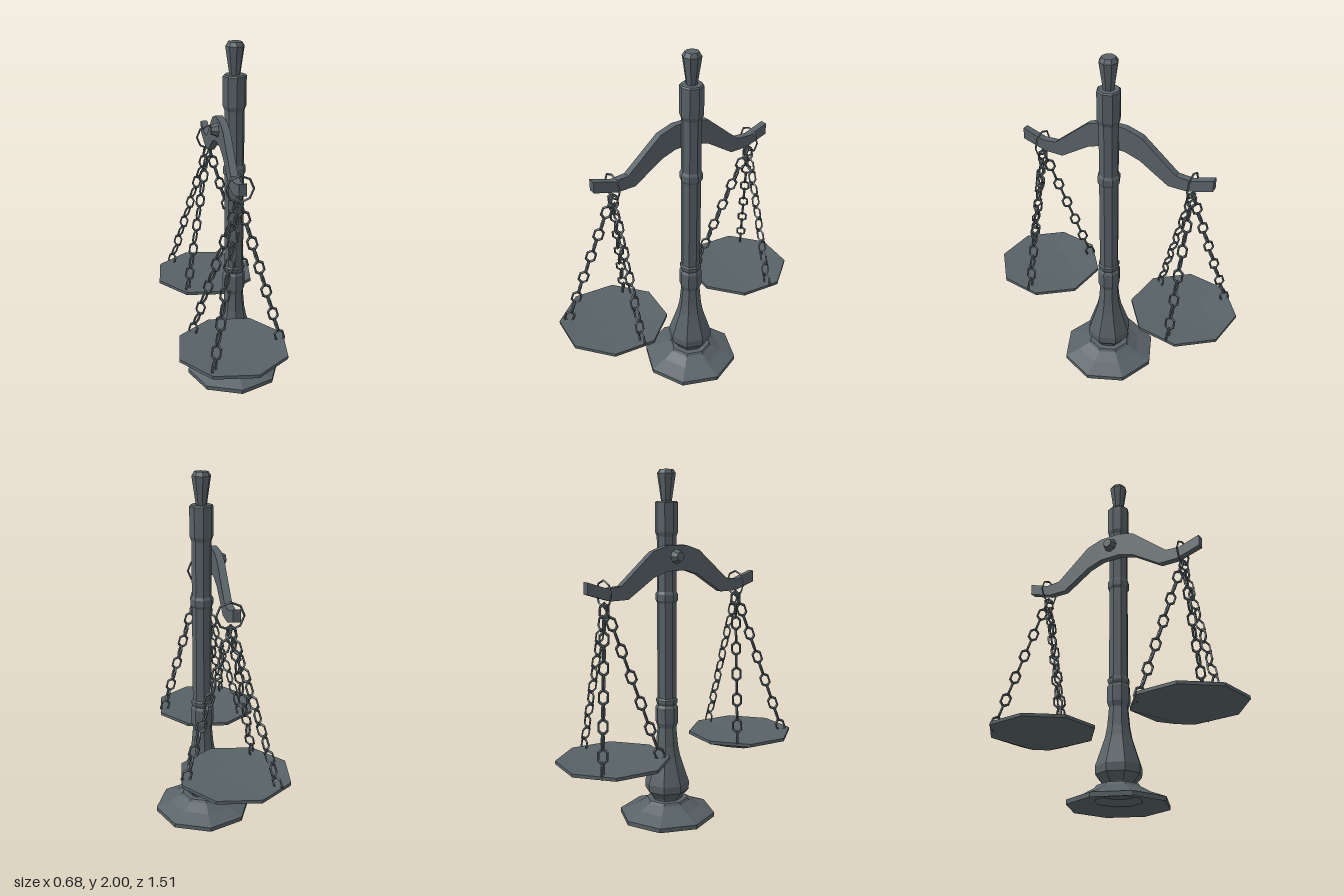
import * as THREE from 'three';

const V2 = (p) => new THREE.Vector2(p[0], p[1]);
const V3 = (x, y, z) => new THREE.Vector3(x, y, z);

export function createModel() {
  const iron = new THREE.MeshStandardMaterial({ color: 0x586266, flatShading: true });
  iron.name = 'dark iron';
  const model = new THREE.Group();
  model.name = 'balanceScale';

  const add = (parent, name, geometry, x = 0, y = 0, z = 0) => {
    const mesh = new THREE.Mesh(geometry, iron);
    mesh.name = name;
    mesh.position.set(x, y, z);
    parent.add(mesh);
    return mesh;
  };
  const turned = (profile) => new THREE.LatheGeometry(profile.map(V2), 8);

  const postX = 0.06, postZ = -0.018;

  // Octagonal foot, hollow underneath
  add(model, 'base', turned([
    [0, 0.06], [0.09, 0.06], [0.13, 0.03], [0.18, 0.03], [0.28, 0], [0.28, 0.025],
    [0.19, 0.06], [0.13, 0.095], [0.12, 0.11], [0, 0.11],
  ]), postX, 0, postZ);

  // Turned post with bulb, rings, collar and finial
  add(model, 'post', turned([
    [0, 0.1], [0.085, 0.1], [0.09, 0.12], [0.128, 0.165], [0.13, 0.21], [0.1, 0.3], [0.077, 0.37],
    [0.065, 0.43], [0.055, 0.54], [0.066, 0.57], [0.066, 0.66], [0.056, 0.675], [0.063, 0.69],
    [0.063, 0.705], [0.055, 0.715], [0.055, 1.265], [0.064, 1.28], [0.064, 1.315],
    [0.055, 1.33], [0.055, 1.635], [0.065, 1.66], [0.065, 1.82], [0.058, 1.828], [0.03, 1.828],
    [0.052, 1.978], [0.038, 2], [0, 2],
  ]), postX, 0, postZ);

  // Curved beam, mirrored about the post
  const top = [[0.065, 1.59], [0.159, 1.56], [0.365, 1.388], [0.45, 1.382], [0.572, 1.422]];
  const bottom = [[0.572, 1.357], [0.434, 1.314], [0.322, 1.314], [0.155, 1.42], [0.065, 1.45]];
  const half = [...top, ...bottom];
  const outline = [...half, ...half.map(([z, y]) => [-z, y]).reverse()];
  const beam = add(model, 'beam', new THREE.ExtrudeGeometry(
    new THREE.Shape(outline.map(V2)), { depth: 0.04, bevelEnabled: false }), 0.006, 0, postZ);
  beam.rotation.y = -Math.PI / 2;

  // Pivot knob on the beam
  const knob = add(model, 'pivotKnob', new THREE.CylinderGeometry(0.026, 0.042, 0.038, 8), -0.052, 1.53, postZ);
  knob.rotation.z = Math.PI / 2;

  // Shared parts of the two hanging pans
  const panGeometry = turned([
    [0, 0.375], [0.125, 0.379], [0.31, 0.444], [0.31, 0.462], [0.3, 0.462], [0.13, 0.447], [0, 0.444],
  ]);
  panGeometry.rotateY(THREE.MathUtils.degToRad(15));
  const ringGeometry = new THREE.TorusGeometry(0.072, 0.006, 4, 8);
  const linkGeometry = new THREE.TorusGeometry(0.027, 0.0065, 4, 6);
  linkGeometry.rotateZ(Math.PI / 6);
  linkGeometry.scale(1, 1.5, 1);
  const panX = -0.042, links = 12;
  const anchors = [[0.275, -0.022], [-0.195, -0.19], [-0.145, 0.22]];

  for (const side of [1, -1]) {
    const hanger = new THREE.Group();
    hanger.name = side > 0 ? 'frontHanger' : 'backHanger';
    model.add(hanger);
    const panZ = side * 0.457, ringZ = panZ - 0.018;
    add(hanger, 'pan', panGeometry, panX, 0, panZ);
    add(hanger, 'beamRing', ringGeometry, -0.005, 1.352, ringZ);

    // Three chains from the ring to the rim, every other link turned a quarter
    const start = V3(-0.008, 1.3, ringZ);
    for (const [ax, az] of anchors) {
      const chain = new THREE.Group();
      chain.name = 'chain';
      hanger.add(chain);
      const end = V3(panX + ax, 0.445, panZ + az);
      const up = start.clone().sub(end).normalize();
      const across = V3(-az, 0, ax).normalize();
      const out = across.clone().cross(up).normalize();
      across.copy(up).cross(out);
      const frame = new THREE.Matrix4().makeBasis(across, up, out);
      for (let i = 0; i < links; i++) {
        const p = start.clone().lerp(end, (i + 0.5) / links);
        const link = add(chain, 'chainLink', linkGeometry, p.x, p.y, p.z);
        link.quaternion.setFromRotationMatrix(frame);
        if (i % 2) link.rotateY(Math.PI / 2);
      }
    }
  }
  return model;
}
